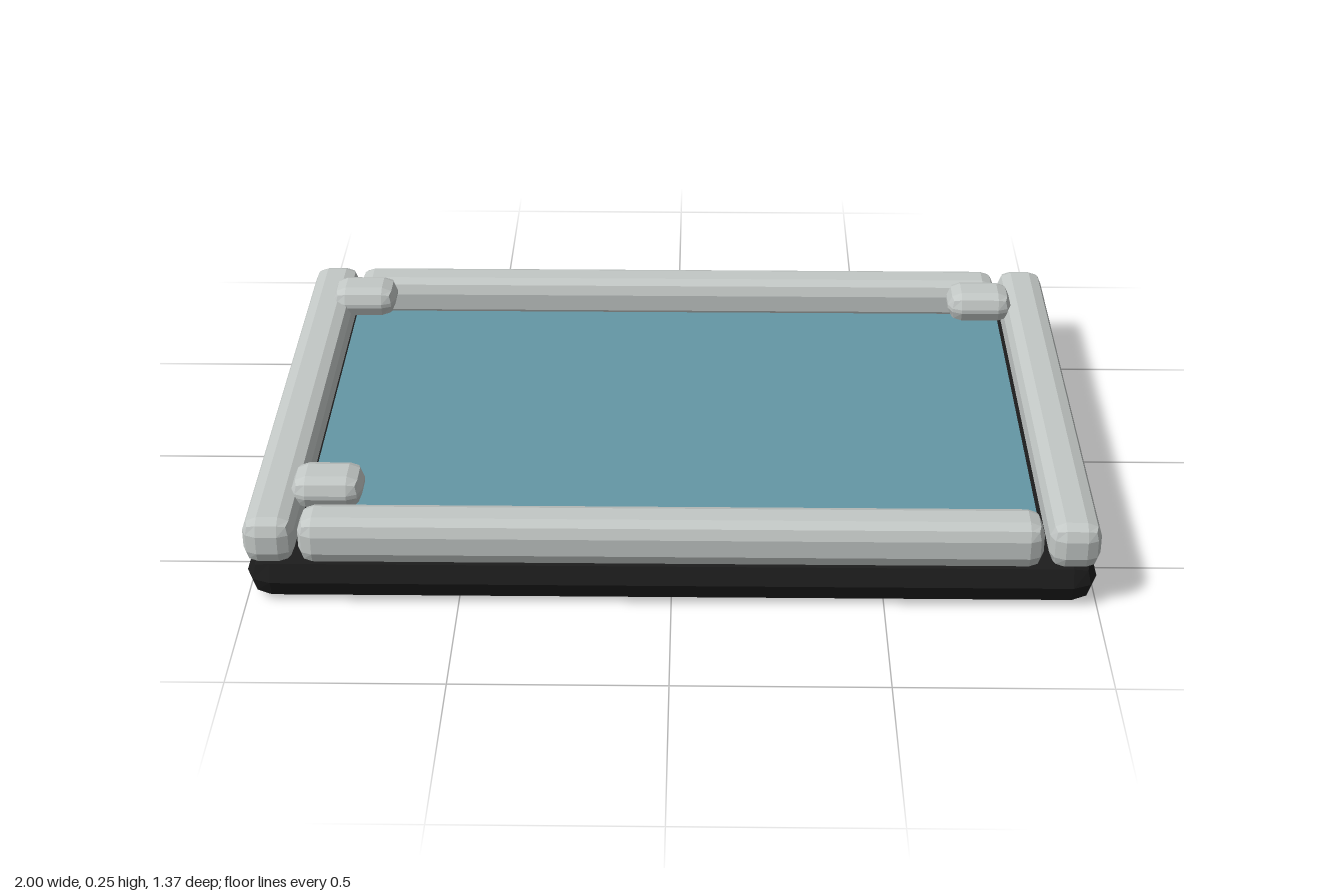
import * as THREE from 'three';
import { RoundedBoxGeometry } from 'three/addons/geometries/RoundedBoxGeometry.js';

const material = (name, color, flatShading = true) => {
  const m = new THREE.MeshStandardMaterial({ color, flatShading });
  m.name = name;
  return m;
};

export function createModel() {
  const group = new THREE.Group();
  group.name = 'framedTray';
  const black = material('black', 0x1c1c1c);
  const grey = material('lightGrey', 0xc3c8c6);
  const teal = material('teal', 0x6497a5);

  // Box between two corners; a radius gives faceted, bevelled edges
  const block = (name, mat, [x0, y0, z0], [x1, y1, z1], radius = 0) => {
    const size = [x1 - x0, y1 - y0, z1 - z0];
    const geometry = radius
      ? new RoundedBoxGeometry(...size, 1, radius)
      : new THREE.BoxGeometry(...size);
    const mesh = new THREE.Mesh(geometry, mat);
    mesh.name = name;
    mesh.position.set((x0 + x1) / 2, (y0 + y1) / 2, (z0 + z1) / 2);
    group.add(mesh);
  };

  // Dark slab and the recessed panel on it
  block('base', black, [-1, 0, -0.685], [1, 0.12, 0.685], 0.06);
  block('panel', teal, [-0.878, 0.1, -0.568], [0.872, 0.134, 0.558]);

  // Four frame rails
  for (const [side, s] of [['left', 1], ['right', -1]]) {
    const xs = [0.88 * s, s].sort((a, b) => a - b);
    block(side + 'Rail', grey, [xs[0], 0.105, -0.685], [xs[1], 0.22, 0.685], 0.035);
  }
  for (const [side, s] of [['front', 1], ['back', -1]]) {
    const zs = [0.565 * s, 0.685 * s].sort((a, b) => a - b);
    block(side + 'Rail', grey, [-0.872, 0.105, zs[0]], [0.868, 0.22, zs[1]], 0.035);
  }

  // Three corner clips; the front left corner has none
  const clips = [
    ['backRightClip', -0.845, -0.505],
    ['backLeftClip', 0.813, -0.494],
    ['frontRightClip', -0.818, 0.485],
  ];
  for (const [name, x, z] of clips)
    block(name, grey, [x - 0.084, 0.17, z - 0.064], [x + 0.084, 0.25, z + 0.064], 0.035);

  return group;
}
